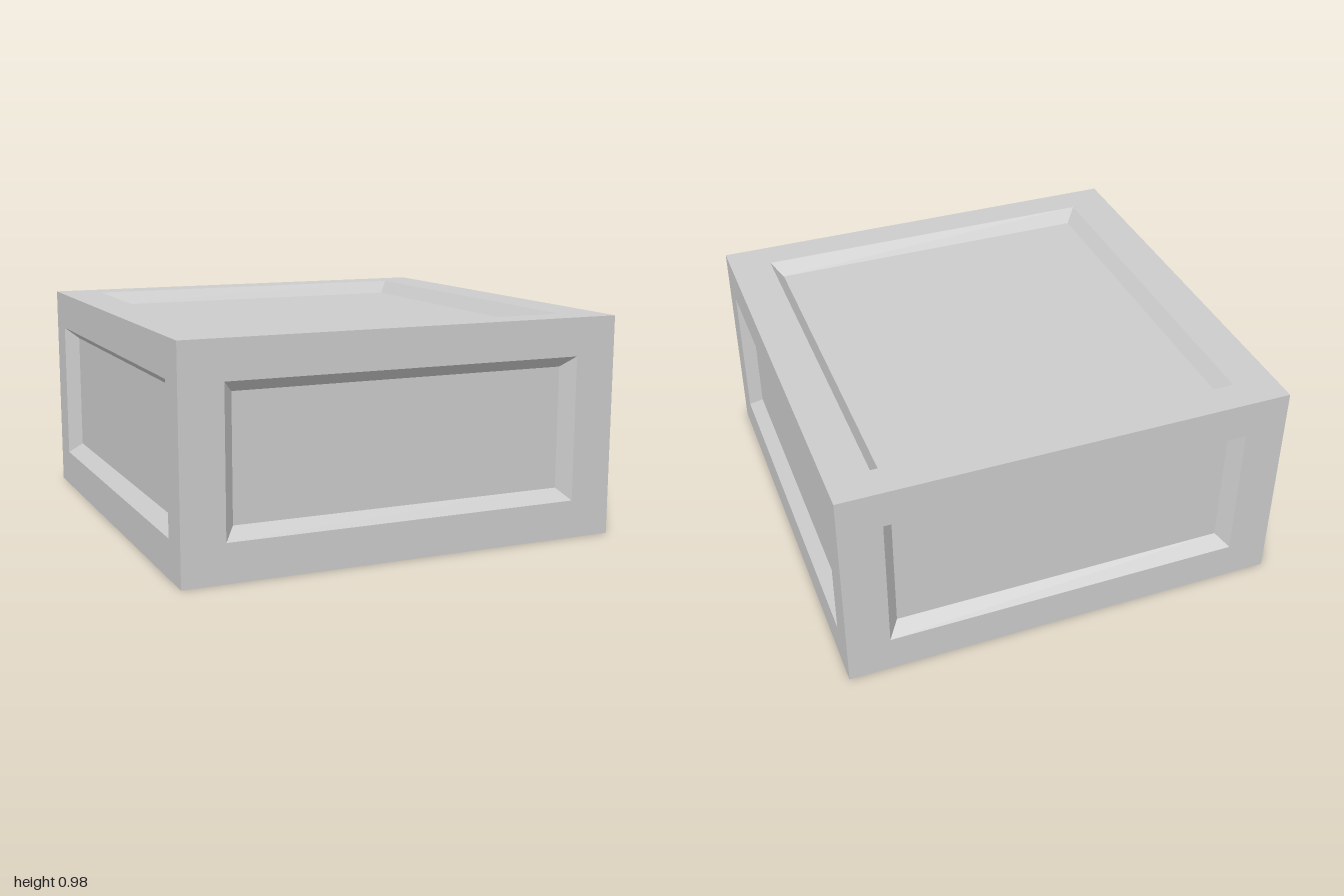
import * as THREE from 'three';

const W = 2, H = 0.984, D = 2;       // overall crate size
const DEPTH = 0.06, SLOPE = 0.05;    // recess depth and inward slope of its walls
const MARGIN_X = 0.19, MARGIN_Y = 0.17, MARGIN_Z = 0.15; // border widths

// Rectangle loop, counter-clockwise seen from +z
const ring = (w, h, z) => [[-1, -1], [1, -1], [1, 1], [-1, 1]].map(([x, y]) => [x * w / 2, y * h / 2, z]);

// One side of the crate facing +z: flat border, sloped recess walls, inset panel
function recessedSide(w, h, mx, my) {
  const iw = w - 2 * mx, ih = h - 2 * my;
  const rings = [ring(w, h, 0), ring(iw, ih, 0), ring(iw - 2 * SLOPE, ih - 2 * SLOPE, -DEPTH)];
  const pos = [];
  const quad = (a, b, c, d) => pos.push(...a, ...b, ...c, ...a, ...c, ...d);
  for (let r = 0; r < 2; r++) {
    for (let i = 0; i < 4; i++) {
      const j = (i + 1) % 4;
      quad(rings[r][i], rings[r][j], rings[r + 1][j], rings[r + 1][i]);
    }
  }
  quad(...rings[2]);
  const geometry = new THREE.BufferGeometry();
  geometry.setAttribute('position', new THREE.Float32BufferAttribute(pos, 3));
  geometry.computeVertexNormals();
  return geometry;
}

export function createModel() {
  const crate = new THREE.Group();
  crate.name = 'crate';
  const material = new THREE.MeshStandardMaterial({ color: 0xcccccc, flatShading: true });

  const frontBack = recessedSide(W, H, MARGIN_X, MARGIN_Y);
  const leftRight = recessedSide(D, H, MARGIN_Z, MARGIN_Y);
  const topBottom = recessedSide(W, D, MARGIN_X, MARGIN_Z);

  // name, geometry, rotation about x, rotation about y, distance from the centre
  const sides = [
    ['frontSide', frontBack, 0, 0, D / 2],
    ['backSide', frontBack, 0, Math.PI, D / 2],
    ['leftSide', leftRight, 0, Math.PI / 2, W / 2],
    ['rightSide', leftRight, 0, -Math.PI / 2, W / 2],
    ['topSide', topBottom, -Math.PI / 2, 0, H / 2],
    ['bottomSide', topBottom, Math.PI / 2, 0, H / 2],
  ];
  for (const [name, geometry, rx, ry, distance] of sides) {
    const side = new THREE.Mesh(geometry, material);
    side.name = name;
    side.rotation.set(rx, ry, 0);
    side.position.y = H / 2;
    side.translateZ(distance);
    crate.add(side);
  }
  return crate;
}
